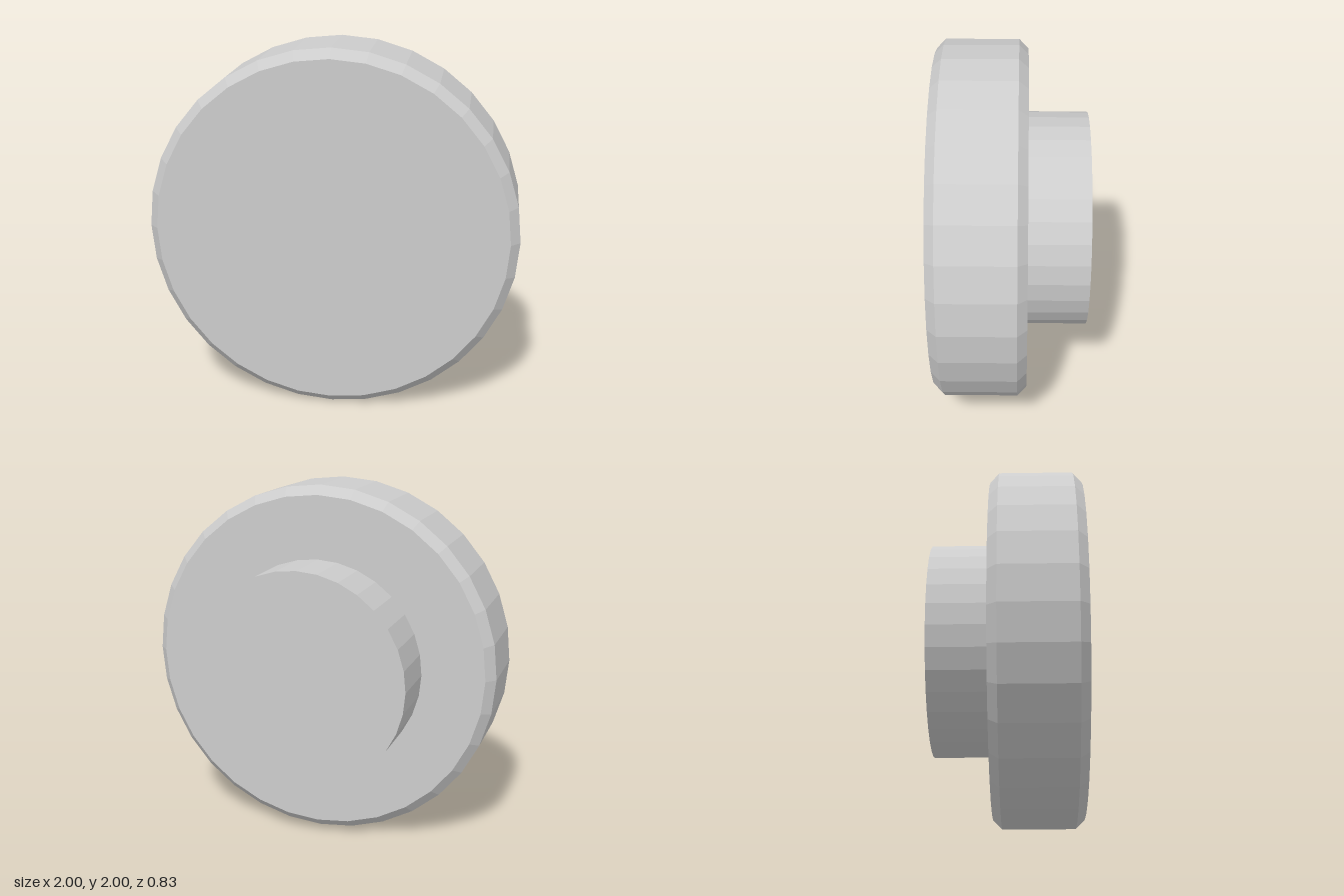
import * as THREE from 'three';

const SIDES = 32;

export function createModel() {
  const model = new THREE.Group();
  model.name = 'roundKnob';
  const grey = new THREE.MeshStandardMaterial({ color: 0xcccccc, flatShading: true });
  grey.name = 'light grey';

  // Adds a part turned about the z axis, at the centre height of the disc
  function addTurned(name, geometry, z) {
    geometry.rotateX(Math.PI / 2);
    const mesh = new THREE.Mesh(geometry, grey);
    mesh.name = name;
    mesh.position.set(0, 1, z);
    model.add(mesh);
  }

  // Wide front disc with bevelled rims
  const half = 0.25, bevel = 0.05;
  const profile = [
    [0, -half], [1 - bevel, -half], [1, bevel - half],
    [1, half - bevel], [1 - bevel, half], [0, half],
  ].map(([r, h]) => new THREE.Vector2(r, h));
  addTurned('disc', new THREE.LatheGeometry(profile, SIDES), 0.165);

  // Narrow stem behind the disc
  addTurned('stem', new THREE.CylinderGeometry(0.6, 0.6, 0.33, SIDES), -0.25);

  return model;
}
